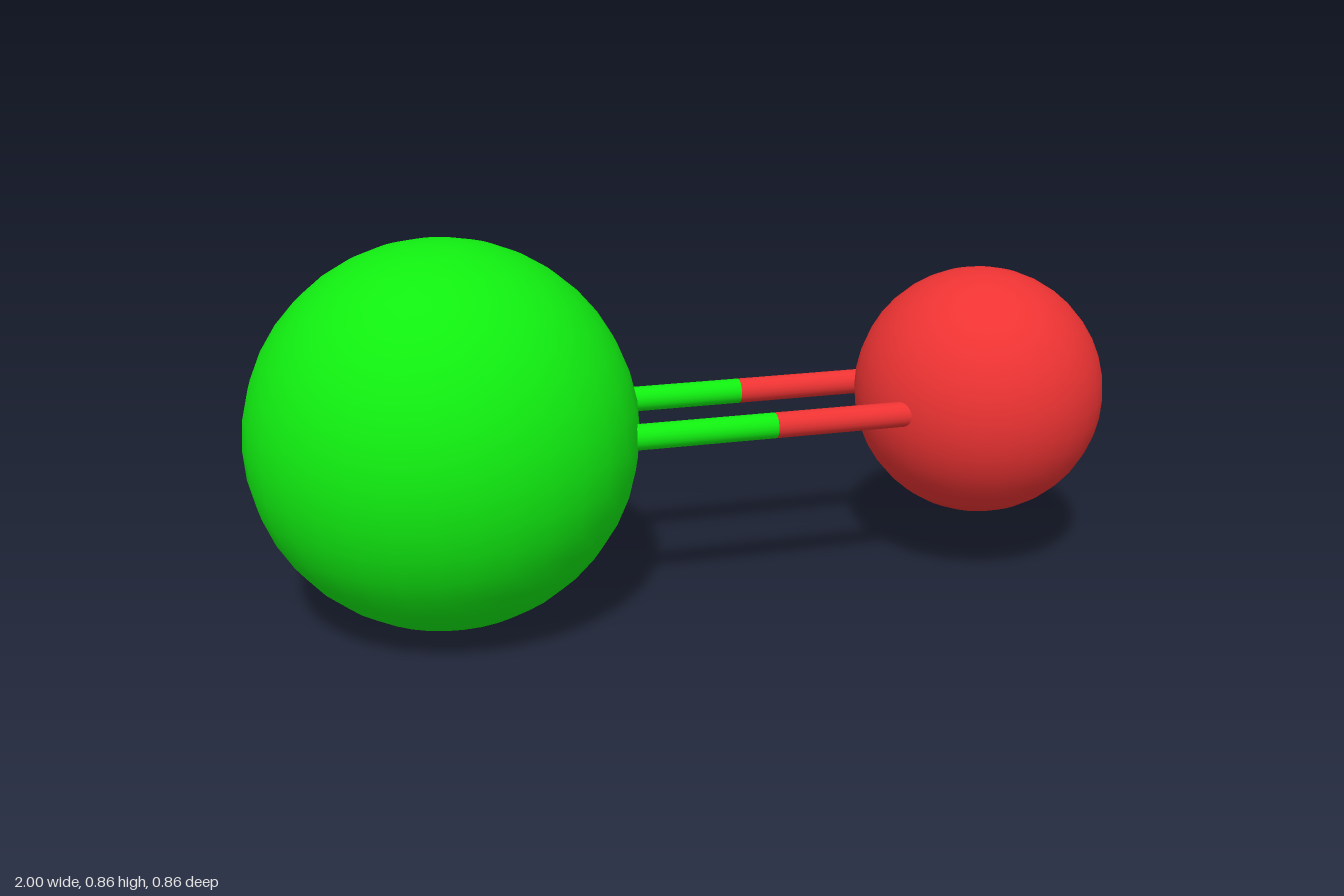
import * as THREE from 'three';

const CENTRE_Y = 0.433;

export function createModel() {
  const model = new THREE.Group();
  model.name = 'ballAndStickMolecule';
  const green = new THREE.MeshStandardMaterial({ color: 0x11ee11 });
  const red = new THREE.MeshStandardMaterial({ color: 0xee3333 });

  const addAtom = (name, radius, x, material) => {
    const atom = new THREE.Mesh(new THREE.SphereGeometry(radius, 32, 20), material);
    atom.name = name;
    atom.position.set(x, CENTRE_Y, 0);
    model.add(atom);
  };

  // Rod along x, from x0 to x1
  const addRod = (name, x0, x1, z, material) => {
    const geometry = new THREE.CylinderGeometry(0.029, 0.029, x1 - x0, 20);
    geometry.rotateZ(-Math.PI / 2);
    const rod = new THREE.Mesh(geometry, material);
    rod.name = name;
    rod.position.set((x0 + x1) / 2, CENTRE_Y, z);
    model.add(rod);
  };

  // Two atoms
  addAtom('largeAtom', 0.432, -0.569, green);
  addAtom('smallAtom', 0.293, 0.707, red);

  // Double bond, each rod split into two coloured halves
  for (const [side, z] of [['front', 0.14], ['back', -0.14]]) {
    addRod(side + 'BondGreenHalf', -0.22, 0.153, z, green);
    addRod(side + 'BondRedHalf', 0.153, 0.52, z, red);
  }
  return model;
}
